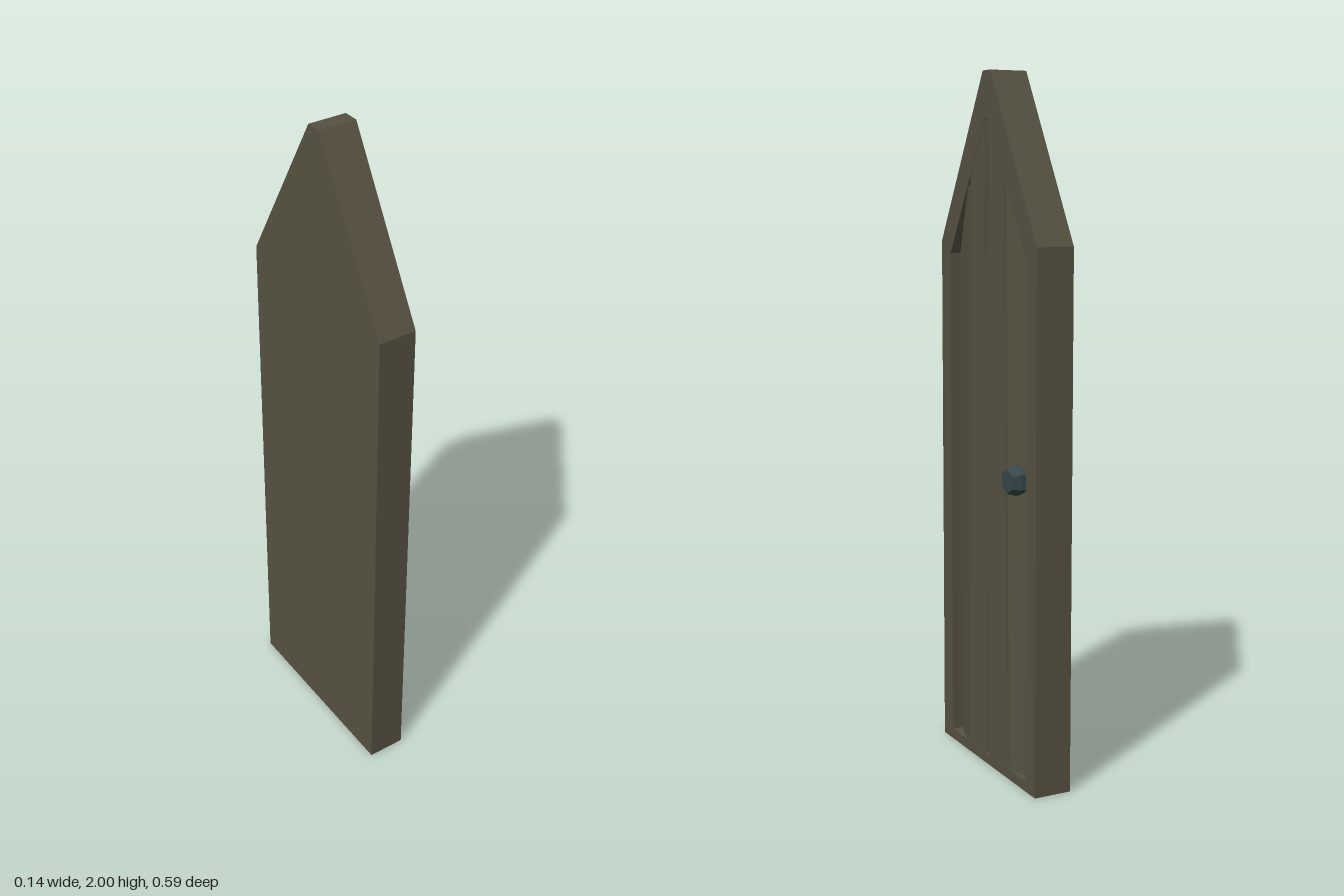
import * as THREE from 'three';

const FRONT = 0.042, BACK = -0.07, FLOOR = 0.007;

// Pointed outline: half width, foot, shoulder height, half width of tip, tip height
function pointed(Type, w, y0, y1, tip, y2) {
  return new Type([[-w, y0], [w, y0], [w, y1], [tip, y2], [-tip, y2], [-w, y1]]
    .map(([x, y]) => new THREE.Vector2(x, y)));
}

// Extrude a silhouette along x, from x0 to x1
function slab(shape, x0, x1) {
  return new THREE.ExtrudeGeometry(shape, { depth: x1 - x0, bevelEnabled: false })
    .rotateY(Math.PI / 2).translate(x0, 0, 0);
}

// Plank between two edges of [z, y, x] points, with sides sloping down to the floor
function plank(left, right, spreadLeft, spreadRight) {
  const pos = [];
  const quad = (a, b, c, d) => [a, b, c, a, c, d].forEach(([z, y, x]) => pos.push(x, y, z));
  const foot = (p, spread) => [p[0] + spread, p[1], FLOOR];
  for (let i = 0; i < left.length - 1; i++) {
    const [bl, tl, br, tr] = [left[i], left[i + 1], right[i], right[i + 1]];
    quad(bl, br, tr, tl);
    quad(foot(bl, spreadLeft), bl, tl, foot(tl, spreadLeft));
    quad(br, foot(br, -spreadRight), foot(tr, -spreadRight), tr);
  }
  const geo = new THREE.BufferGeometry();
  geo.setAttribute('position', new THREE.Float32BufferAttribute(pos, 3));
  geo.computeVertexNormals();
  return geo;
}

export function createModel() {
  const group = new THREE.Group();
  const wood = new THREE.MeshStandardMaterial({ color: 0x565141, flatShading: true });
  wood.name = 'weathered wood';
  const iron = new THREE.MeshStandardMaterial({ color: 0x36474a, flatShading: true });
  iron.name = 'dark iron';
  const add = (name, geo, mat) => {
    const mesh = new THREE.Mesh(geo, mat);
    mesh.name = name;
    group.add(mesh);
  };

  // Solid back and raised frame
  const outline = () => pointed(THREE.Shape, 0.297, 0, 1.525, 0.023, 2);
  add('doorBack', slab(outline(), BACK, FLOOR), wood);
  const frame = outline();
  frame.holes.push(pointed(THREE.Path, 0.238, 0.03, 1.49, 0.01, 1.87));
  add('doorFrame', slab(frame, FLOOR, FRONT), wood);

  // Plank edges, from the outside to the middle groove
  const top = FRONT - 0.001, low = 0.01;
  const rim = [[0.238, 0.03, low], [0.238, 1.49, low], [0.122, 1.69, top]];
  const outer = [[0.14, 0.03, top], [0.123, 1.5, top], [0.12, 1.7, top]];
  const inner = [[0.121, 0.03, top], [0.1, 1.5, top], [0.103, 1.715, top]];
  const middle = [[0.011, 0.03, top], [0.02, 1.5, top], [0.01, 1.87, top]];
  const mirror = (edge) => edge.map(([z, y, x]) => [-z, y, x]);

  add('outerPlankLeft', plank(rim, outer, 0, 0.009), wood);
  add('innerPlankLeft', plank(inner, middle, 0.009, 0.01), wood);
  add('innerPlankRight', plank(mirror(middle), mirror(inner), 0.01, 0.009), wood);
  add('outerPlankRight', plank(mirror(outer), mirror(rim), 0.009, 0), wood);

  // Six-sided knob
  const profile = [[0.043, FLOOR], [0.043, FRONT], [0.035, 0.068], [0, 0.068]]
    .map(([r, y]) => new THREE.Vector2(r, y));
  const knob = new THREE.LatheGeometry(profile, 6)
    .rotateY(Math.PI / 6).rotateZ(-Math.PI / 2).translate(0, 0.88, -0.176);
  add('doorKnob', knob, iron);

  return group;
}
